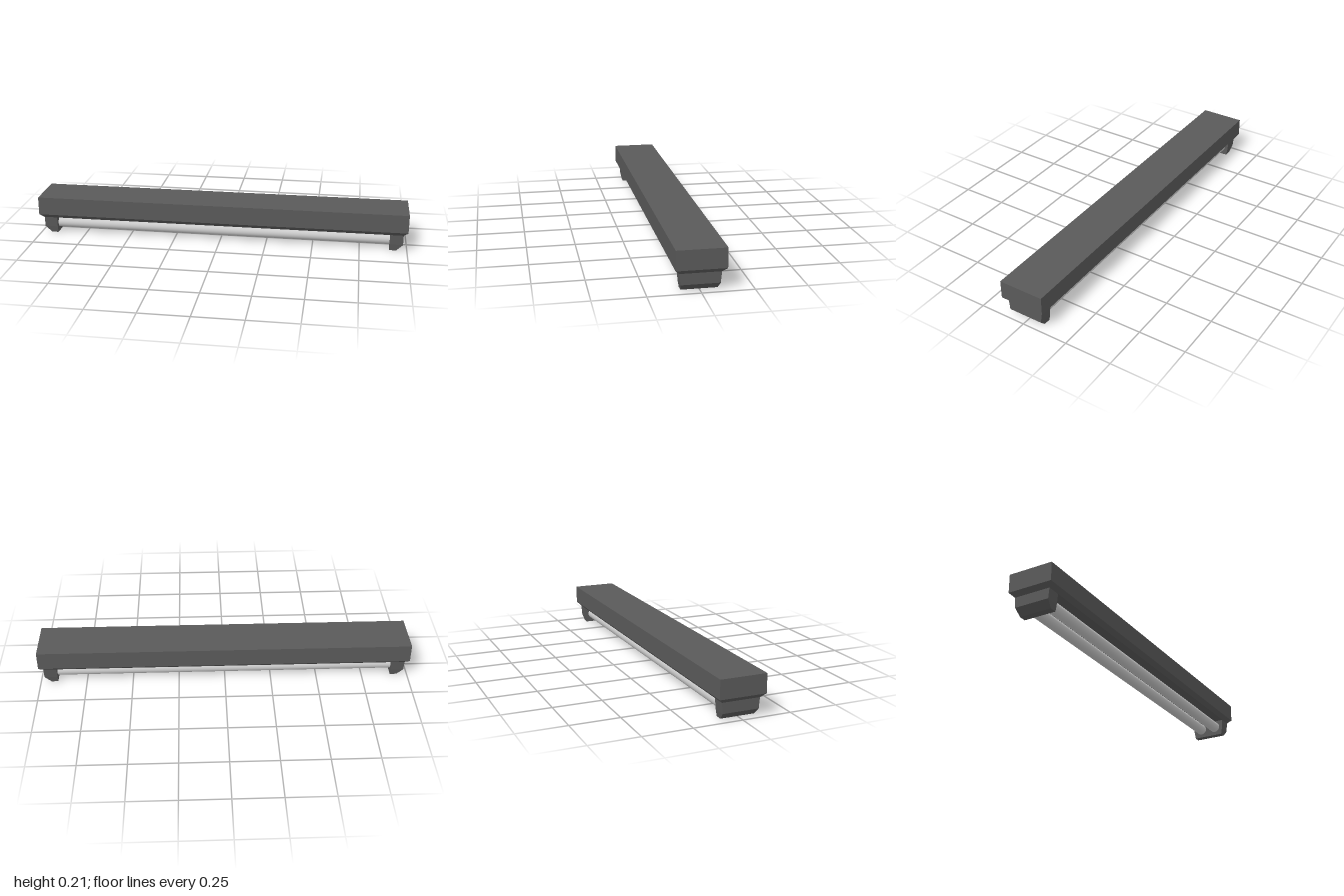
import * as THREE from 'three';

const dark = new THREE.MeshStandardMaterial({ color: 0x5a5a5a, flatShading: true });
const light = new THREE.MeshStandardMaterial({ color: 0xcccccc });

// Closed solid through rectangular sections [y, xMin, xMax, zHalf], bottom to top
function loftRects(sections) {
  const pos = [];
  const idx = [];
  for (const [y, x0, x1, z] of sections) {
    pos.push(x0, y, z, x1, y, z, x1, y, -z, x0, y, -z);
  }
  const quad = (a, b, c, d) => idx.push(a, b, c, a, c, d);
  for (let s = 0; s < sections.length - 1; s++) {
    for (let i = 0; i < 4; i++) {
      const a = s * 4 + i;
      const b = s * 4 + ((i + 1) % 4);
      quad(a, b, b + 4, a + 4);
    }
  }
  const t = (sections.length - 1) * 4;
  quad(3, 2, 1, 0);
  quad(t, t + 1, t + 2, t + 3);
  const g = new THREE.BufferGeometry();
  g.setAttribute('position', new THREE.Float32BufferAttribute(pos, 3));
  g.setIndex(idx);
  const flat = g.toNonIndexed();
  flat.computeVertexNormals();
  return flat;
}

function add(parent, name, geometry, material) {
  const mesh = new THREE.Mesh(geometry, material);
  mesh.name = name;
  parent.add(mesh);
  return mesh;
}

export function createModel() {
  const model = new THREE.Group();
  model.name = 'tubeLightFixture';

  // Housing with a bevelled lower edge
  add(model, 'housing', loftRects([
    [0.09, -0.978, 0.978, 0.098],
    [0.112, -1, 1, 0.12],
    [0.21, -1, 1, 0.12],
  ]), dark);

  // Tapered lamp holders with a chamfered outer bottom edge
  const holder = loftRects([
    [0, 0.908, 0.944, 0.087],
    [0.035, 0.908, 0.978, 0.093],
    [0.09, 0.908, 0.978, 0.098],
  ]);
  add(model, 'leftLampHolder', holder, dark);
  add(model, 'rightLampHolder', holder, dark).rotation.y = Math.PI;

  // Pair of fluorescent tubes
  const tube = new THREE.CylinderGeometry(0.03, 0.03, 1.82, 32);
  tube.rotateZ(Math.PI / 2);
  for (const [name, z] of [['frontTube', 0.045], ['backTube', -0.045]]) {
    add(model, name, tube, light).position.set(0, 0.05, z);
  }
  return model;
}
